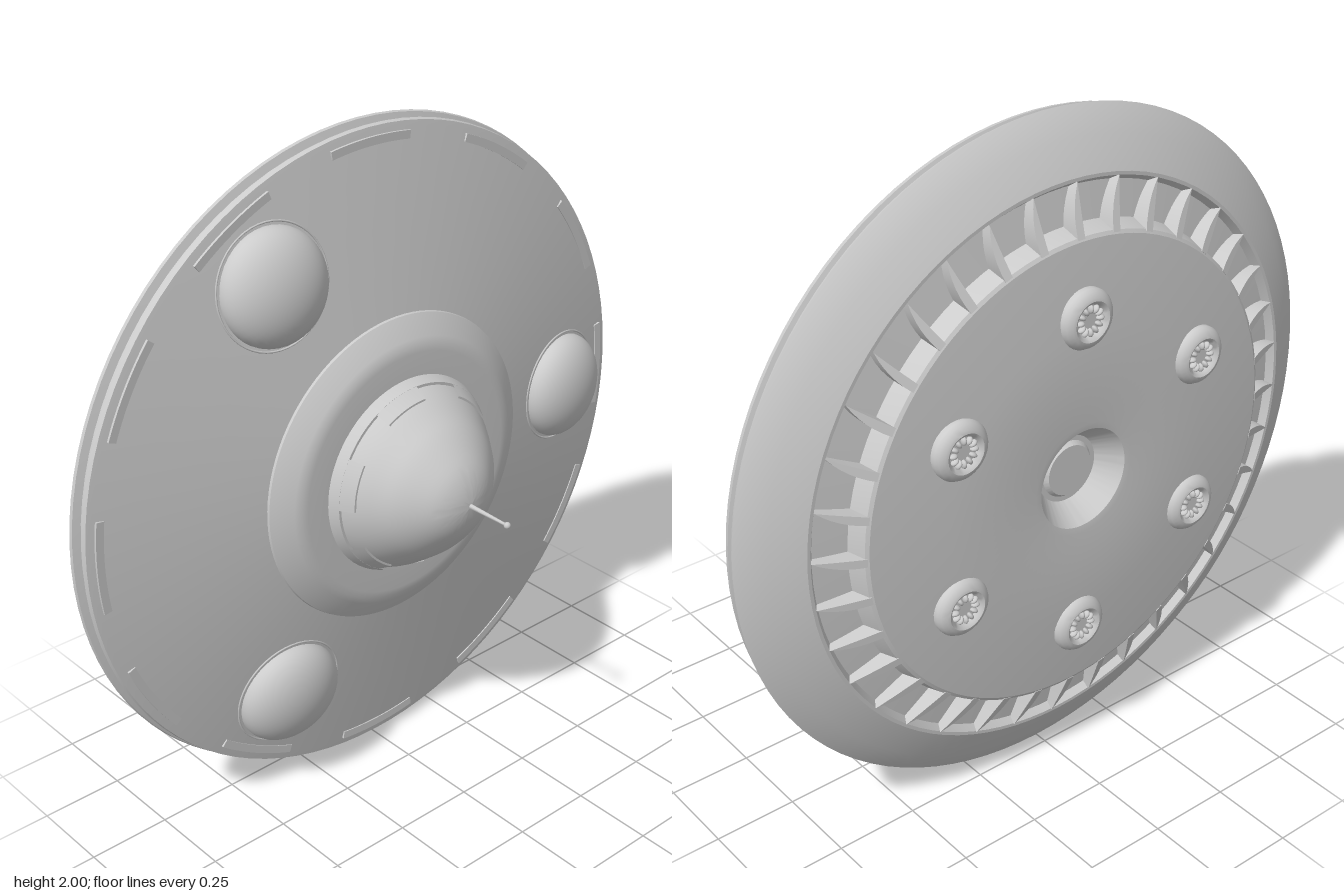
import * as THREE from 'three';
import { toCreasedNormals } from 'three/addons/utils/BufferGeometryUtils.js';

const material = new THREE.MeshStandardMaterial({ color: 0xcccccc, side: THREE.DoubleSide });
const TAU = Math.PI * 2;

function add(parent, name, geometry) {
  const mesh = new THREE.Mesh(geometry, material);
  mesh.name = name;
  parent.add(mesh);
  return mesh;
}

// Turned part around the z axis from [radius, z] pairs, listed back to front
function turned(profile, segments = 96, start = 0, length = TAU, crease = 0.35) {
  const points = profile.map(([r, z]) => new THREE.Vector2(r, z));
  const geometry = new THREE.LatheGeometry(points, segments, start + Math.PI / 2, length);
  geometry.rotateX(Math.PI / 2);
  return toCreasedNormals(geometry, crease);
}

// Places a copy holder at a polar position on the disc
function polar(parent, name, radius, angle, z = 0) {
  const holder = new THREE.Group();
  holder.name = name;
  holder.position.set(radius * Math.cos(angle), radius * Math.sin(angle), z);
  holder.rotation.z = angle;
  parent.add(holder);
  return holder;
}

// Height of the front cone at a radius
const coneZ = (r) => -0.07 - (r - 0.45) * 0.163;

function finGeometry() {
  // Curved blade outline: x is radial, y is tangential
  const shape = new THREE.Shape();
  shape.moveTo(0.695, -0.012);
  shape.quadraticCurveTo(0.77, -0.012, 0.83, 0.026);
  shape.quadraticCurveTo(0.77, 0.018, 0.695, 0.012);
  shape.closePath();
  const geometry = new THREE.ExtrudeGeometry(shape, { depth: 1, bevelEnabled: false, curveSegments: 6 });
  // Slope the outer edge along the hull
  const p = geometry.attributes.position;
  for (let i = 0; i < p.count; i++) {
    const slope = -0.36 + (p.getX(i) - 0.695) * 0.38;
    p.setZ(i, p.getZ(i) > 0.5 ? -0.285 : slope);
  }
  return toCreasedNormals(geometry, 0.5);
}

function slotGeometry() {
  // Narrow arc strip on the rim
  const shape = new THREE.Shape();
  shape.absarc(0, 0, 0.96, -0.147, 0.147, false);
  shape.absarc(0, 0, 0.936, 0.147, -0.147, true);
  shape.closePath();
  return new THREE.ExtrudeGeometry(shape, { depth: 0.014, bevelEnabled: false, curveSegments: 12 });
}

export function createModel() {
  const model = new THREE.Group();
  model.name = 'flyingSaucer';
  const disc = new THREE.Group();
  disc.name = 'disc';
  disc.position.y = 1;
  model.add(disc);

  // Hull: rear hub well, rear plate, fin channel, rim, front cone and collar
  add(disc, 'hull', turned([
    [0, -0.335], [0.075, -0.335], [0.085, -0.322], [0.1, -0.322], [0.15, -0.392], [0.17, -0.395],
    [0.45, -0.387], [0.69, -0.361], [0.7, -0.355], [0.715, -0.3], [0.815, -0.285], [0.83, -0.305],
    [0.84, -0.305], [0.93, -0.262], [0.985, -0.223], [1, -0.21], [0.997, -0.202], [0.975, -0.195],
    [0.975, -0.178], [0.988, -0.172], [0.985, -0.158], [0.97, -0.155], [0.45, -0.07],
  ]));
  add(disc, 'collar', turned([
    [0.45, -0.08], [0.455, -0.065], [0.47, -0.055], [0.468, -0.048], [0.41, -0.01], [0.39, -0.002],
    [0.37, 0], [0.28, 0],
  ]));

  // Cockpit dome
  const domeCurve = new THREE.SplineCurve([
    [0.293, -0.005], [0.278, 0.03], [0.255, 0.07], [0.222, 0.115], [0.19, 0.155],
    [0.147, 0.195], [0.1, 0.23], [0.05, 0.25], [0, 0.258],
  ].map(([r, z]) => new THREE.Vector2(r, z)));
  const domeProfile = domeCurve.getPoints(24).map((p) => [Math.max(p.x, 0), p.y]);
  add(disc, 'cockpitDome', turned(domeProfile, 64, 0, TAU, 1));

  // Dome seat with raised tabs
  add(disc, 'domeSeat', turned([[0.302, -0.005], [0.286, 0.03], [0.276, 0.03]], 64));
  for (let i = 0; i < 6; i++) {
    const start = Math.PI / 4 + (i * TAU) / 6 - 0.27;
    add(disc, 'domeTab', turned([[0.286, 0.029], [0.262, 0.068], [0.252, 0.068]], 8, start, 0.54));
  }

  // Antenna
  add(disc, 'antenna', turned([[0.007, 0.25], [0.004, 0.4]], 12));
  add(disc, 'antennaTip', new THREE.SphereGeometry(0.01, 16, 12)).position.z = 0.4;

  // Three landing globes, leaning with the front cone
  const globe = new THREE.SphereGeometry(1, 40, 14, 0, TAU, 0, Math.PI / 2);
  globe.rotateX(Math.PI / 2);
  globe.scale(0.165, 0.165, 0.093);
  for (let i = 0; i < 3; i++) {
    const holder = polar(disc, 'landingGlobe', 0.742, (i * TAU) / 3, coneZ(0.742));
    const tilted = new THREE.Group();
    tilted.name = 'globeMount';
    tilted.rotation.y = 0.16;
    holder.add(tilted);
    add(tilted, 'globe', globe);
    add(tilted, 'globeRing', new THREE.TorusGeometry(0.175, 0.003, 6, 48));
  }

  // Twelve strips around the front rim
  const slot = slotGeometry();
  for (let i = 0; i < 12; i++) {
    add(polar(disc, 'rimStripMount', 0, (i * TAU) / 12, -0.16), 'rimStrip', slot);
  }

  // Curved fins in the rear channel
  const fin = finGeometry();
  for (let i = 0; i < 36; i++) {
    add(polar(disc, 'finMount', 0, (i * TAU) / 36), 'rearFin', fin);
  }

  // Six rear thrusters, each a rounded ring with a rosette inside
  const nozzle = turned([
    [0, -0.397], [0.043, -0.397], [0.05, -0.408], [0.058, -0.413], [0.067, -0.411],
    [0.08, -0.4], [0.086, -0.39], [0.086, -0.37],
  ], 32, 0, TAU, 0.7);
  const petal = new THREE.SphereGeometry(1, 10, 8);
  petal.scale(0.013, 0.007, 0.012);
  for (let i = 0; i < 6; i++) {
    const thruster = polar(disc, 'thruster', 0.482, Math.PI / 6 + (i * TAU) / 6);
    add(thruster, 'nozzle', nozzle);
    for (let j = 0; j < 12; j++) {
      add(polar(thruster, 'petalMount', 0.034, (j * TAU) / 12, -0.4), 'petal', petal);
    }
  }
  return model;
}
